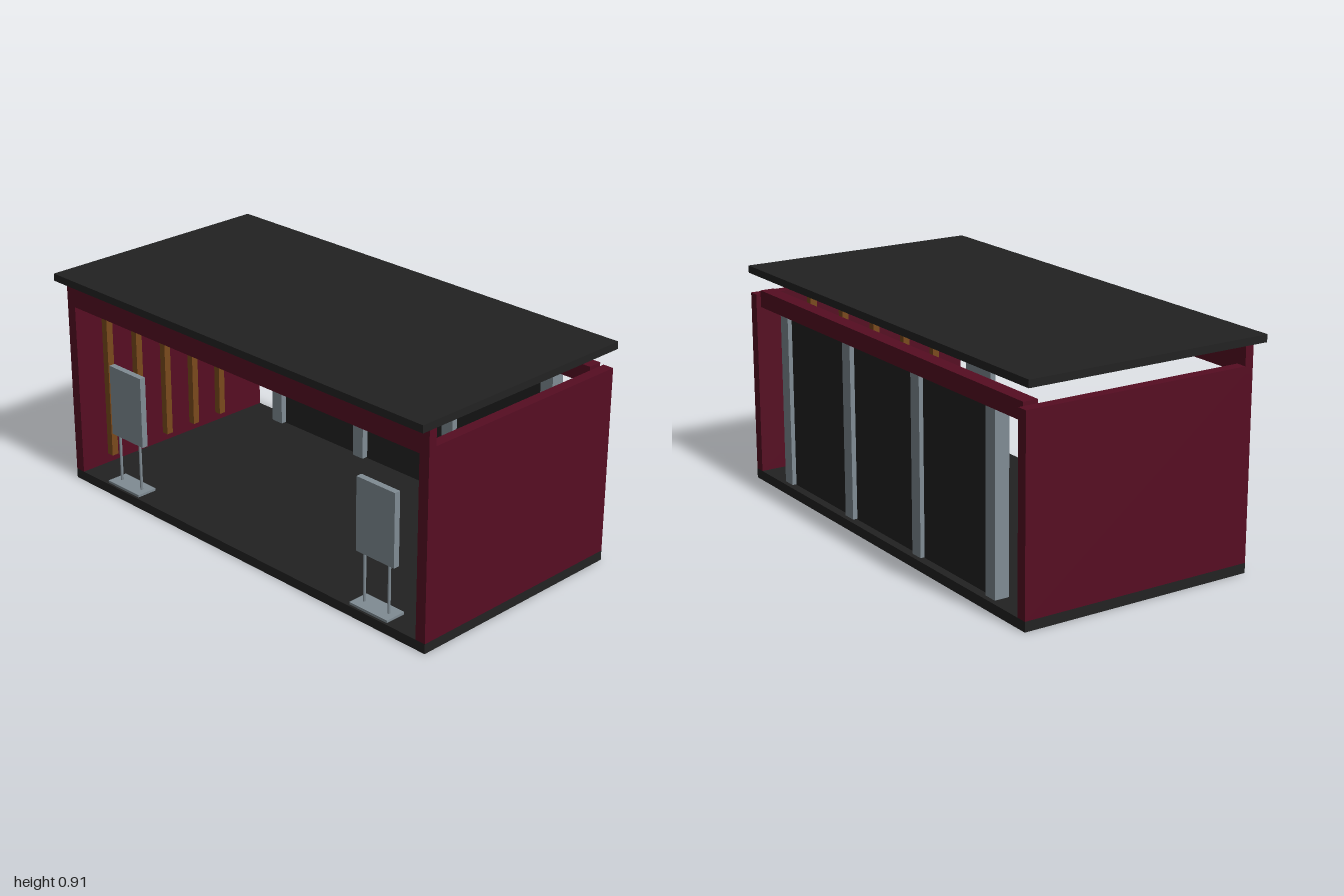
import * as THREE from 'three';

const mat = (name, color) => {
  const m = new THREE.MeshStandardMaterial({ color });
  m.name = name;
  return m;
};

export function createModel() {
  const red = mat('dark red', 0x560d22);
  const black = mat('charcoal', 0x222222);
  const grey = mat('steel grey', 0x808c94);
  const brown = mat('wood brown', 0x7a4a1c);

  const model = new THREE.Group();
  model.name = 'shelter';

  // Box given by its lower and upper limits on each axis
  const box = (name, material, [x0, x1], [y0, y1], [z0, z1], parent = model) => {
    const mesh = new THREE.Mesh(new THREE.BoxGeometry(x1 - x0, y1 - y0, z1 - z0), material);
    mesh.position.set((x0 + x1) / 2, (y0 + y1) / 2, (z0 + z1) / 2);
    mesh.name = name;
    parent.add(mesh);
    return mesh;
  };
  const around = (c, size) => [c - size / 2, c + size / 2];

  // Floor, roof and the two cross beams
  box('floor', black, [-0.985, 0.985], [0, 0.04], [-0.52, 0.47]);
  box('roof', black, [-1, 1], [0.88, 0.91], [-0.52, 0.52]);
  box('frontBeam', red, [-0.985, 0.985], [0.77, 0.88], [0.435, 0.47]);
  box('backBeam', red, [-0.94, 0.94], [0.745, 0.815], [-0.5, -0.44]);

  // Back panels, each with a pair of narrow ledges
  for (const x of [-0.495, 0, 0.495]) {
    box('backPanel', black, around(x, 0.425), [0.04, 0.745], [-0.485, -0.46]);
    for (const side of [-1, 1]) {
      box('ledge', grey, around(x + side * 0.0975, 0.15), [0.295, 0.307], [-0.46, -0.43]);
    }
  }

  for (const side of [-1, 1]) {
    // Side wall with wooden battens inside
    box('sideWall', red, around(side * 0.9625, 0.045), [0.04, 0.8], [-0.52, 0.47]);
    for (let i = 0; i < 5; i++) {
      box('batten', brown, around(side * 0.925, 0.03), [0.08, 0.76], around(0.325 - i * 0.149, 0.03));
    }

    // Back posts
    for (const x of [0.249, 0.742]) {
      box('backPost', grey, around(side * x, 0.058), [0.04, 0.745], [-0.5, -0.44]);
    }

    // Free-standing display board on two thin legs
    const stand = new THREE.Group();
    stand.name = 'displayStand';
    const cx = side * 0.695;
    box('standBase', grey, around(cx, 0.19), [0.04, 0.05], around(0.415, 0.09), stand);
    box('displayBoard', grey, around(cx, 0.19), [0.25, 0.55], around(0.415, 0.026), stand);
    for (const dx of [-0.062, 0.062]) {
      const leg = new THREE.Mesh(new THREE.CylinderGeometry(0.006, 0.006, 0.2, 12), grey);
      leg.position.set(cx + dx, 0.15, 0.415);
      leg.name = 'standLeg';
      stand.add(leg);
    }
    model.add(stand);
  }

  return model;
}
